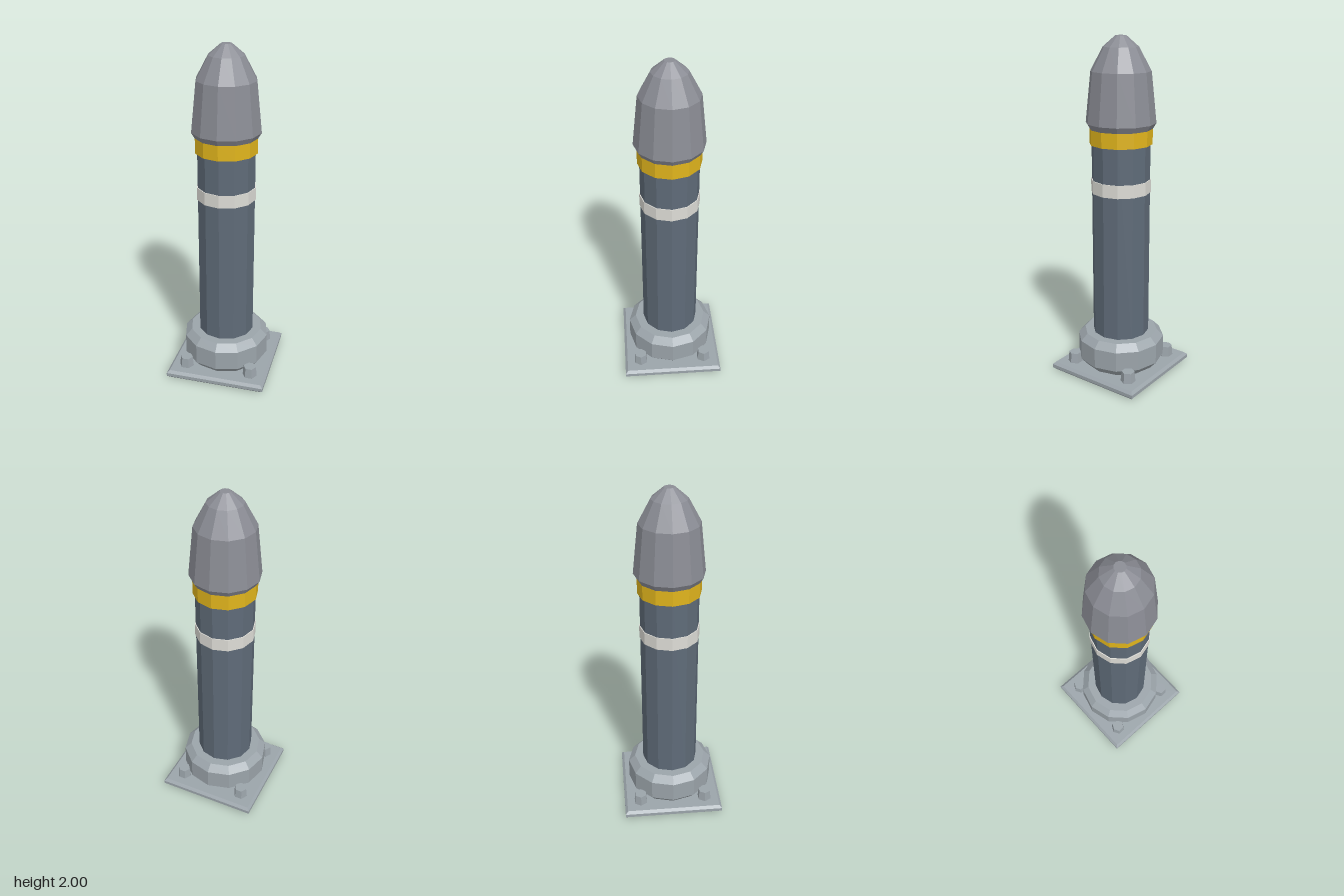
import * as THREE from 'three';

const SIDES = 12;
const paint = (color) => new THREE.MeshStandardMaterial({ color, flatShading: true });

// Faceted solid of revolution from [radius, height] pairs, bottom to top
function turned(name, profile, material, sides = SIDES) {
  const points = profile.map(([r, y]) => new THREE.Vector2(r, y));
  const mesh = new THREE.Mesh(new THREE.LatheGeometry(points, sides), material);
  mesh.name = name;
  return mesh;
}

export function createModel() {
  const model = new THREE.Group();
  model.name = 'bollard';

  const steel = paint(0x9ba4aa);
  const slate = paint(0x5f6b78);
  const capGrey = paint(0x8b8d95);
  const yellow = paint(0xe0b41c);
  const white = paint(0xdddcd6);

  // Square base plate, bevelled top and bottom
  const d = Math.SQRT2;
  const plate = turned('basePlate',
    [[0, 0], [0.285 * d, 0], [0.3 * d, 0.015], [0.3 * d, 0.035], [0.285 * d, 0.05], [0, 0.05]], steel, 4);
  plate.rotation.y = Math.PI / 4;
  model.add(plate);

  // Collar around the foot of the post
  model.add(turned('collar',
    [[0, 0.05], [0.22, 0.05], [0.26, 0.095], [0.26, 0.215], [0.22, 0.255], [0, 0.255]], steel));

  // Post and its two bands
  model.add(turned('post', [[0, 0.2], [0.168, 0.2], [0.168, 1.5], [0, 1.5]], slate));
  model.add(turned('whiteBand',
    [[0.16, 1.125], [0.173, 1.125], [0.173, 1.2], [0.16, 1.2]], white));
  model.add(turned('yellowBand',
    [[0.16, 1.405], [0.18, 1.405], [0.18, 1.495], [0.16, 1.495]], yellow));

  // Domed cap
  model.add(turned('cap',
    [[0, 1.492], [0.18, 1.492], [0.2, 1.525], [0.17, 1.81], [0.1, 1.94], [0.03, 2], [0, 2]], capGrey));

  // Hexagonal anchor bolts at the plate corners
  for (const x of [-0.2, 0.2]) {
    for (const z of [-0.2, 0.2]) {
      const bolt = turned('anchorBolt', [[0, 0.04], [0.044, 0.05], [0.038, 0.112], [0, 0.112]], steel, 6);
      bolt.position.set(x, 0, z);
      bolt.rotation.y = Math.PI / 6;
      model.add(bolt);
    }
  }
  return model;
}
